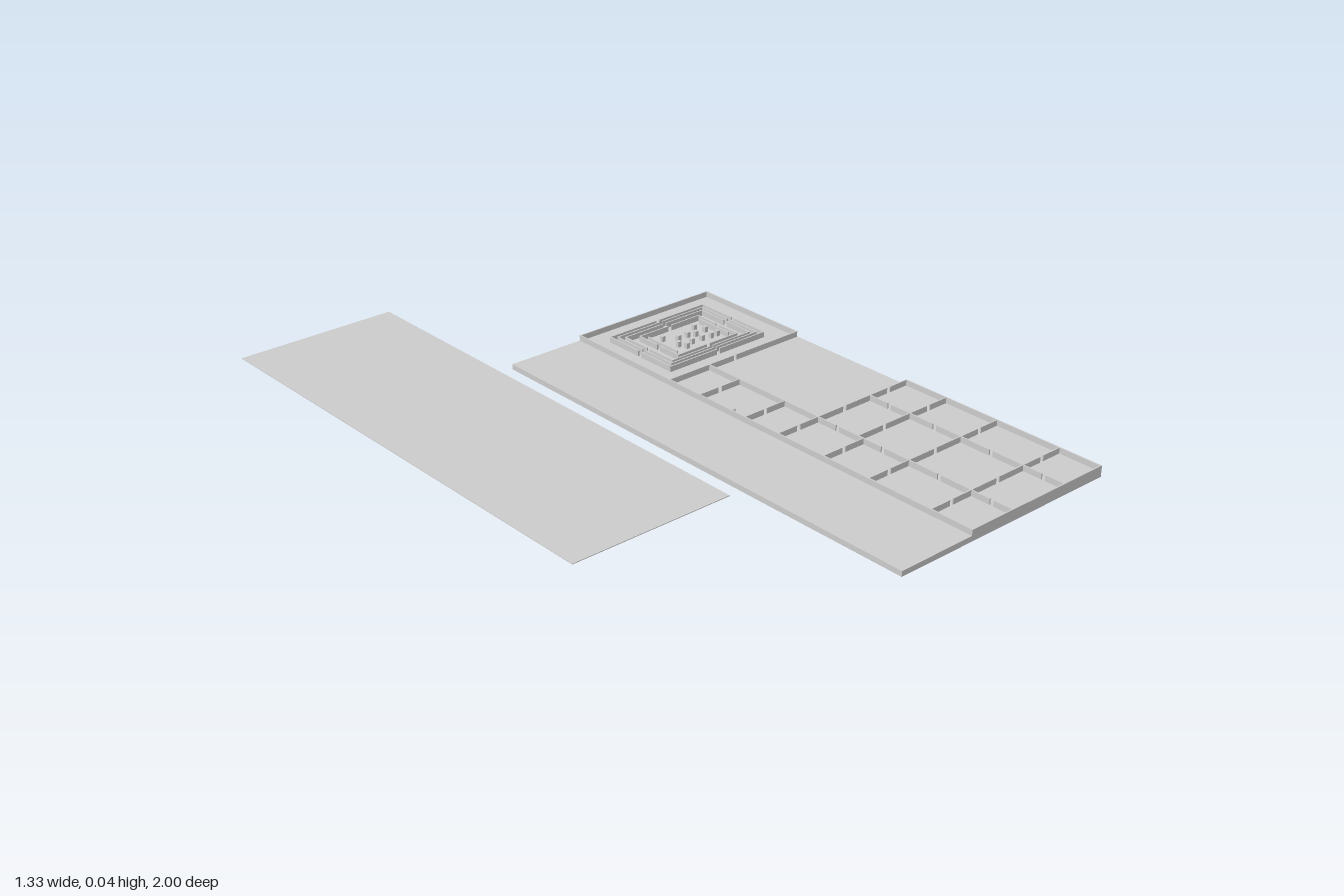
import * as THREE from 'three';

const FLOOR = 0.016, TOP = 0.033, T = 0.004;
const material = new THREE.MeshStandardMaterial({ color: 0xcccccc, flatShading: true });

export function createModel() {
  const model = new THREE.Group();

  function box(parent, name, x0, x1, y0, y1, z0, z1) {
    const mesh = new THREE.Mesh(new THREE.BoxGeometry(x1 - x0, y1 - y0, z1 - z0), material);
    mesh.position.set((x0 + x1) / 2, (y0 + y1) / 2, (z0 + z1) / 2);
    mesh.name = name;
    parent.add(mesh);
  }
  function group(name) {
    const g = new THREE.Group();
    g.name = name;
    model.add(g);
    return g;
  }
  // Thin walls along x or z, optionally split by a doorway in the middle
  function wallX(parent, z, x0, x1, door = 0) {
    const m = (x0 + x1) / 2;
    const spans = door ? [[x0, m - door / 2], [m + door / 2, x1]] : [[x0, x1]];
    for (const [a, b] of spans) box(parent, 'wall', a, b, FLOOR, TOP, z - T / 2, z + T / 2);
  }
  function wallZ(parent, x, z0, z1, door = 0) {
    const m = (z0 + z1) / 2;
    const spans = door ? [[z0, m - door / 2], [m + door / 2, z1]] : [[z0, z1]];
    for (const [a, b] of spans) box(parent, 'wall', x - T / 2, x + T / 2, FLOOR, TOP, a, b);
  }

  // Ground slab and the separate roof sheet lying beside it
  box(model, 'groundSlab', -0.083, 0.667, 0, FLOOR, -0.5, 1);
  box(model, 'roofSheet', -0.667, -0.165, 0.035, 0.037, -1, 0.497);

  // Outer walls; the courtyard side between z = -0.1 and 0.33 stays open
  const outer = group('outerWalls');
  const L = 0.167, R = 0.665;
  wallZ(outer, L, -0.5, 1);
  wallZ(outer, R, -0.5, -0.105);
  wallZ(outer, R, 0.328, 1);
  wallX(outer, -0.498, L, R);
  wallX(outer, -0.105, L, R, 0.01);
  wallX(outer, 0.998, L, R);

  // Room partitions with narrow doorways
  const rooms = group('roomWalls');
  const A = 0.317, B = 0.518, door = 0.012;
  const leftRows = [-0.105, 0.02, 0.2, 0.328, 0.495, 0.655, 0.865, 1];
  const rightRows = [0.328, 0.475, 0.655, 0.865, 1];
  leftRows.slice(1, -1).forEach(z => wallX(rooms, z, L, A, door));
  rightRows.slice(0, -1).forEach(z => {
    wallX(rooms, z, A, B, door);
    wallX(rooms, z, B, R, door);
  });
  wallZ(rooms, A, -0.105, 0.328);
  for (let i = 0; i < rightRows.length - 1; i++) {
    wallZ(rooms, A, rightRows[i], rightRows[i + 1], door);
    wallZ(rooms, B, rightRows[i], rightRows[i + 1], door);
  }

  // Nested enclosures of the rear hall: x0, x1, z0, z1
  const rings = group('nestedEnclosures');
  for (const [x0, x1, z0, z1] of [
    [0.226, 0.59, -0.433, -0.167],
    [0.242, 0.574, -0.418, -0.182],
    [0.258, 0.559, -0.402, -0.195],
    [0.295, 0.525, -0.38, -0.212],
  ]) {
    wallX(rings, z0, x0, x1, door);
    wallX(rings, z1, x0, x1, door);
    wallZ(rings, x0, z0, z1, door);
    wallZ(rings, x1, z0, z1, door);
  }
  // Inner side screens
  wallZ(rings, 0.31, -0.36, -0.232);
  wallZ(rings, 0.51, -0.36, -0.232);

  // Small pillars in the innermost enclosure
  const pillars = group('pillars');
  for (const [x, z] of [
    [0.346, -0.338], [0.384, -0.312], [0.42, -0.312], [0.47, -0.338],
    [0.485, -0.307], [0.443, -0.302], [0.357, -0.28], [0.368, -0.256],
    [0.4, -0.27], [0.437, -0.268], [0.47, -0.264], [0.494, -0.264],
  ]) box(pillars, 'pillar', x - 0.006, x + 0.006, FLOOR, TOP, z - 0.006, z + 0.006);

  // Small oblong fitting beside the left wall
  const fitting = new THREE.Mesh(new THREE.CylinderGeometry(0.012, 0.012, 0.01, 12), material);
  fitting.scale.z = 2;
  fitting.position.set(0.186, FLOOR + 0.005, 0.116);
  fitting.name = 'basin';
  model.add(fitting);

  return model;
}
